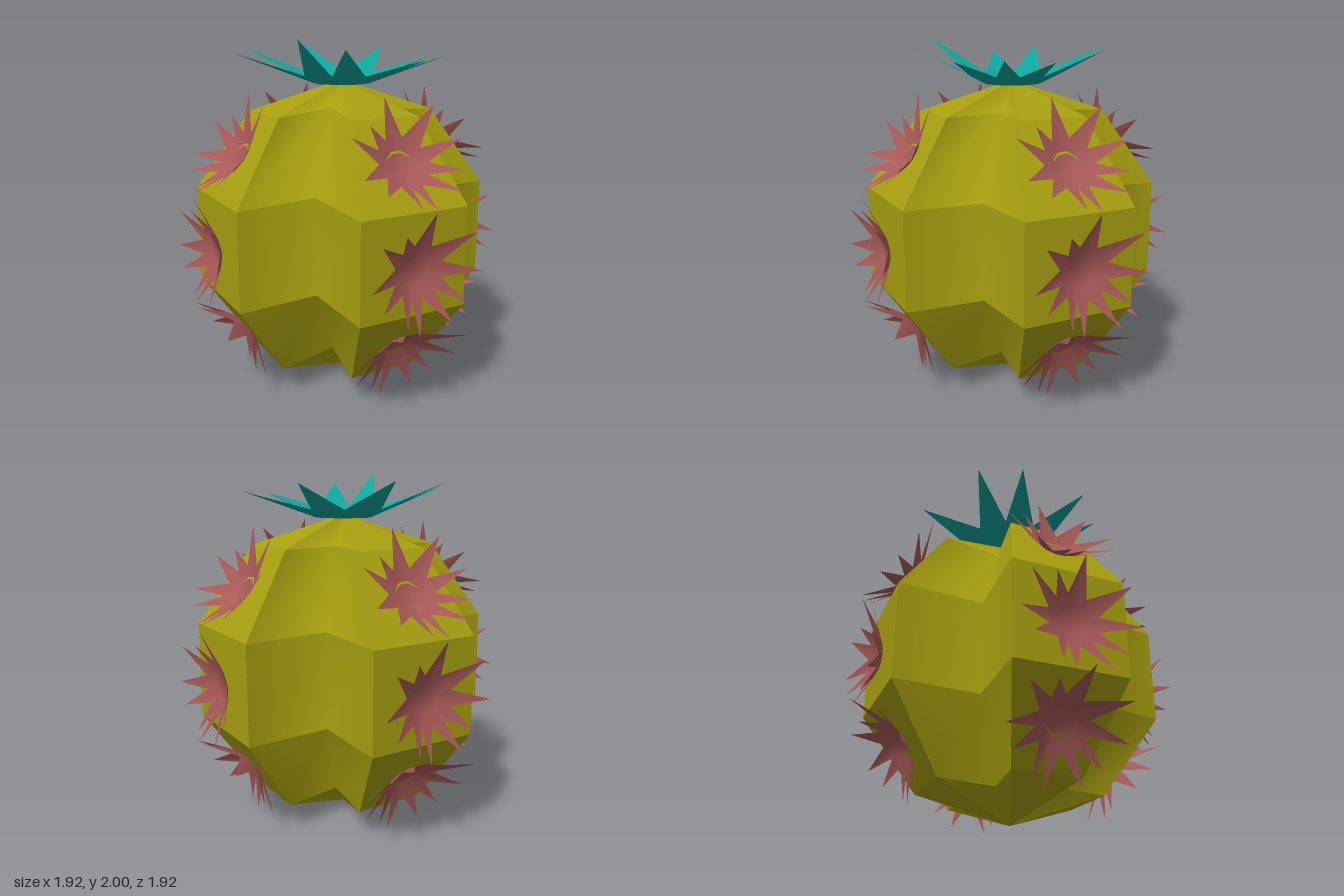
import * as THREE from 'three';

const green = new THREE.MeshStandardMaterial({ color: 0xa89f10, side: THREE.DoubleSide });
const pink = new THREE.MeshStandardMaterial({ color: 0xa85858, side: THREE.DoubleSide });
const teal = new THREE.MeshStandardMaterial({ color: 0x0fa59c, side: THREE.DoubleSide });

const R = 0.885; // body radius
const BANDS = 5;

// Grid of points (rows from bottom to top, columns left to right) as a smooth strip
function strip(rows, name) {
  const n = rows[0].length, index = [];
  for (let i = 0; i < n - 1; i++) index.push(i, i + 1, n + i + 1, i, n + i + 1, n + i);
  const geo = new THREE.BufferGeometry().setFromPoints(rows.flat());
  geo.setIndex(index);
  geo.computeVertexNormals();
  const mesh = new THREE.Mesh(geo, green);
  mesh.name = name;
  return mesh;
}

// Cupped star opening towards +z; tips are [x, y, height], counter-clockwise
function star(tips, floorR, valleyR, valleyH, material, name) {
  const n = tips.length, pts = [new THREE.Vector3(0, 0, valleyH * 0.4)], index = [];
  const angles = tips.map(([x, y]) => Math.atan2(y, x));
  tips.forEach(([x, y, h], i) => {
    const before = angles[(i + n - 1) % n];
    const turn = (angles[i] - before + Math.PI * 4) % (Math.PI * 2);
    const a = before + turn / 2, c = Math.cos(a), s = Math.sin(a);
    pts.push(new THREE.Vector3(c * floorR, s * floorR, 0));
    pts.push(new THREE.Vector3(c * valleyR, s * valleyR, valleyH));
    pts.push(new THREE.Vector3(x, y, h));
    const f = 1 + 3 * i, next = 1 + 3 * ((i + 1) % n);
    index.push(0, f, next, f, f + 1, f + 2, f, f + 2, next, next, f + 2, next + 1);
  });
  const geo = new THREE.BufferGeometry().setFromPoints(pts);
  geo.setIndex(index);
  geo.computeVertexNormals();
  const mesh = new THREE.Mesh(geo, material);
  mesh.name = name;
  return mesh;
}

// Ribbed body: four raised ridges on an eight-sided ball with folded valleys between
function createBody() {
  const body = new THREE.Group();
  body.name = 'body';
  const depths = [0.49, 0.41, 0.41, 0.49], lifts = [0, 0, 0, 0.03];
  const point = (deg, r, y) => {
    const a = THREE.MathUtils.degToRad(deg);
    return new THREE.Vector3(Math.sin(a) * r, y, Math.cos(a) * r);
  };
  for (let k = 0; k < 4; k++) {
    const ridgeRow = [], valleyRow = [];
    for (let j = 0; j <= BANDS; j++) {
      const polar = Math.PI * j / BANDS;
      const r = R * Math.sin(polar), y = R * (1 - Math.cos(polar));
      const pole = j === 0 || j === BANDS;
      const inner = pole ? 0 : (j === 1 || j === BANDS - 1) ? 0.2 : depths[k];
      const left = point(k * 90, r, y), right = point(k * 90 + 45, r, y);
      ridgeRow.push([left, right]);
      valleyRow.push([right, point(k * 90 + 67.5, inner, y + (pole ? 0 : lifts[k])), point(k * 90 + 90, r, y)]);
    }
    for (let j = 0; j < BANDS; j++) {
      body.add(strip([ridgeRow[j], ridgeRow[j + 1]], 'ridge'));
      body.add(strip([valleyRow[j], valleyRow[j + 1]], 'valley'));
    }
  }
  return body;
}

export function createModel() {
  const model = new THREE.Group();
  model.name = 'cactus';
  model.add(createBody());

  // Spiky blossoms, three up each ridge
  const spines = [
    [0.34, -0.02, 0.12], [0.29, 0.2, 0.13], [0.03, 0.33, 0.13], [-0.12, 0.22, 0.1],
    [-0.27, 0.19, 0.12], [-0.33, -0.03, 0.12], [-0.26, -0.15, 0.12], [-0.11, -0.27, 0.11],
    [-0.05, -0.31, 0.13], [0.16, -0.28, 0.12], [0.25, -0.18, 0.11]
  ];
  const rows = [
    { r: 0.63, y: 0.39, tilt: 36, spin: -0.05 },
    { r: 0.78, y: 0.86, tilt: 0, spin: 0 },
    { r: 0.63, y: 1.38, tilt: -36, spin: 0.25 }
  ];
  for (let k = 0; k < 4; k++) {
    const ridge = new THREE.Group();
    ridge.name = 'ridgeBlossoms';
    ridge.rotation.y = THREE.MathUtils.degToRad(22.5 + 90 * k);
    for (const { r, y, tilt, spin } of rows) {
      const blossom = star(spines, 0.08, 0.145, 0.03, pink, 'blossom');
      blossom.position.set(0, y, r);
      blossom.rotation.set(THREE.MathUtils.degToRad(tilt), 0, spin);
      ridge.add(blossom);
    }
    model.add(ridge);
  }

  // Leafy crown on top
  const leaves = [
    [0.58, -0.08, 0.15], [0.55, 0.18, 0.14], [0.31, 0.46, 0.19], [-0.17, 0.55, 0.2],
    [-0.56, 0.19, 0.2], [-0.6, -0.07, 0.17], [-0.27, -0.46, 0.25], [-0.04, -0.55, 0.2],
    [0.42, -0.33, 0.14]
  ];
  const crown = star(leaves, 0.16, 0.26, 0.05, teal, 'crown');
  crown.position.y = 1.75;
  crown.rotation.x = -Math.PI / 2;
  model.add(crown);
  return model;
}
